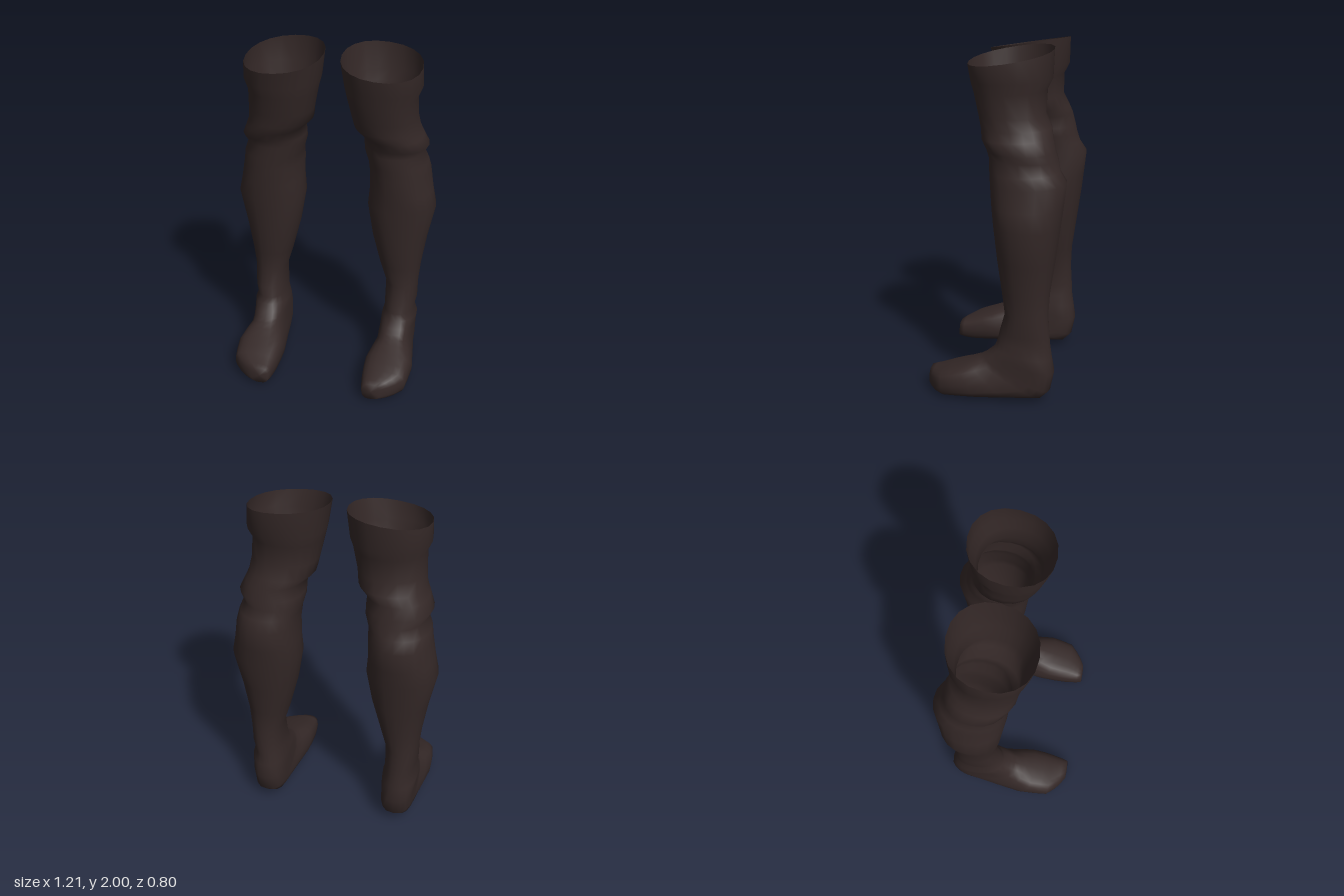
import * as THREE from 'three';

// Cross-sections from the open rim down to the toes:
// [inner x, outer x, front z, front y, back z, back y]
const LEG = [
  [0.05, 0.505, 0.165, 1.92, -0.305, 1.995],
  [0.07, 0.51, 0.145, 1.82, -0.30, 1.84],
  [0.085, 0.485, 0.13, 1.76, -0.27, 1.78],
  [0.112, 0.49, 0.10, 1.64, -0.265, 1.65],
  [0.125, 0.50, 0.085, 1.57, -0.30, 1.58],
  [0.18, 0.52, 0.075, 1.52, -0.315, 1.53],
  [0.177, 0.55, 0.04, 1.46, -0.33, 1.46],
  [0.18, 0.52, 0.035, 1.42, -0.345, 1.41],
  [0.20, 0.548, 0.027, 1.34, -0.36, 1.35],
  [0.205, 0.56, 0.022, 1.27, -0.40, 1.29],
  [0.205, 0.58, 0.012, 1.16, -0.385, 1.16],
  [0.195, 0.603, 0.0, 1.06, -0.372, 1.05],
  [0.23, 0.56, -0.02, 0.85, -0.345, 0.85],
  [0.28, 0.53, -0.047, 0.66, -0.318, 0.66],
  [0.32, 0.517, -0.065, 0.53, -0.312, 0.53],
  [0.32, 0.515, -0.035, 0.42, -0.32, 0.41],
  [0.32, 0.50, -0.02, 0.36, -0.325, 0.34],
  [0.305, 0.52, -0.005, 0.32, -0.335, 0.27]
];
const FOOT = [
  [0.305, 0.51, 0.03, 0.285, -0.347, 0.18],
  [0.30, 0.51, 0.06, 0.26, -0.325, 0.07],
  [0.30, 0.51, 0.09, 0.243, -0.28, 0.027],
  [0.282, 0.53, 0.13, 0.225, -0.10, 0.017],
  [0.262, 0.548, 0.19, 0.20, 0.08, 0.01],
  [0.263, 0.54, 0.25, 0.178, 0.20, 0.004],
  [0.268, 0.53, 0.30, 0.158, 0.285, 0.0],
  [0.275, 0.49, 0.335, 0.143, 0.335, 0.003],
  [0.28, 0.45, 0.365, 0.132, 0.37, 0.01],
  [0.29, 0.40, 0.393, 0.12, 0.40, 0.02],
  [0.345, 0.345, 0.40, 0.07, 0.40, 0.07] // closes the toe
];
const SIDES = 20;

const softPower = (v, p) => Math.sign(v) * Math.abs(v) ** p;

// Lofts one stocking; side is +1 for the left and -1 for the right
function stockingGeometry(side) {
  const rings = [...LEG, ...FOOT];
  const positions = [];
  const indices = [];
  rings.forEach(([xi, xo, zf, yf, zb, yb], i) => {
    const power = i < LEG.length ? 0.92 : 0.72; // squarer foot
    const lean = i === 0 ? 0.02 : 0; // rim rises towards the inside
    for (let j = 0; j < SIDES; j++) {
      const a = (j / SIDES) * Math.PI * 2;
      const c = softPower(Math.cos(a), power);
      const s = softPower(Math.sin(a), power);
      positions.push(
        side * ((xi + xo) / 2 + (c * (xo - xi)) / 2),
        (yf + yb) / 2 + (s * (yf - yb)) / 2 - lean * c,
        (zf + zb) / 2 + (s * (zf - zb)) / 2
      );
      if (i === rings.length - 1) continue;
      const k = (j + 1) % SIDES;
      const [p, q, r, t] = [i * SIDES + j, i * SIDES + k, (i + 1) * SIDES + j, (i + 1) * SIDES + k];
      if (side > 0) indices.push(p, q, r, q, t, r);
      else indices.push(p, r, q, q, r, t);
    }
  });
  const geometry = new THREE.BufferGeometry();
  geometry.setAttribute('position', new THREE.Float32BufferAttribute(positions, 3));
  geometry.setIndex(indices);
  geometry.computeVertexNormals();
  return geometry;
}

export function createModel() {
  const group = new THREE.Group();
  group.name = 'stockings';
  const fabric = new THREE.MeshStandardMaterial({ color: 0x342827, side: THREE.DoubleSide });
  fabric.name = 'dark brown fabric';
  for (const [name, side] of [['leftStocking', 1], ['rightStocking', -1]]) {
    const mesh = new THREE.Mesh(stockingGeometry(side), fabric);
    mesh.name = name;
    group.add(mesh);
  }
  return group;
}
